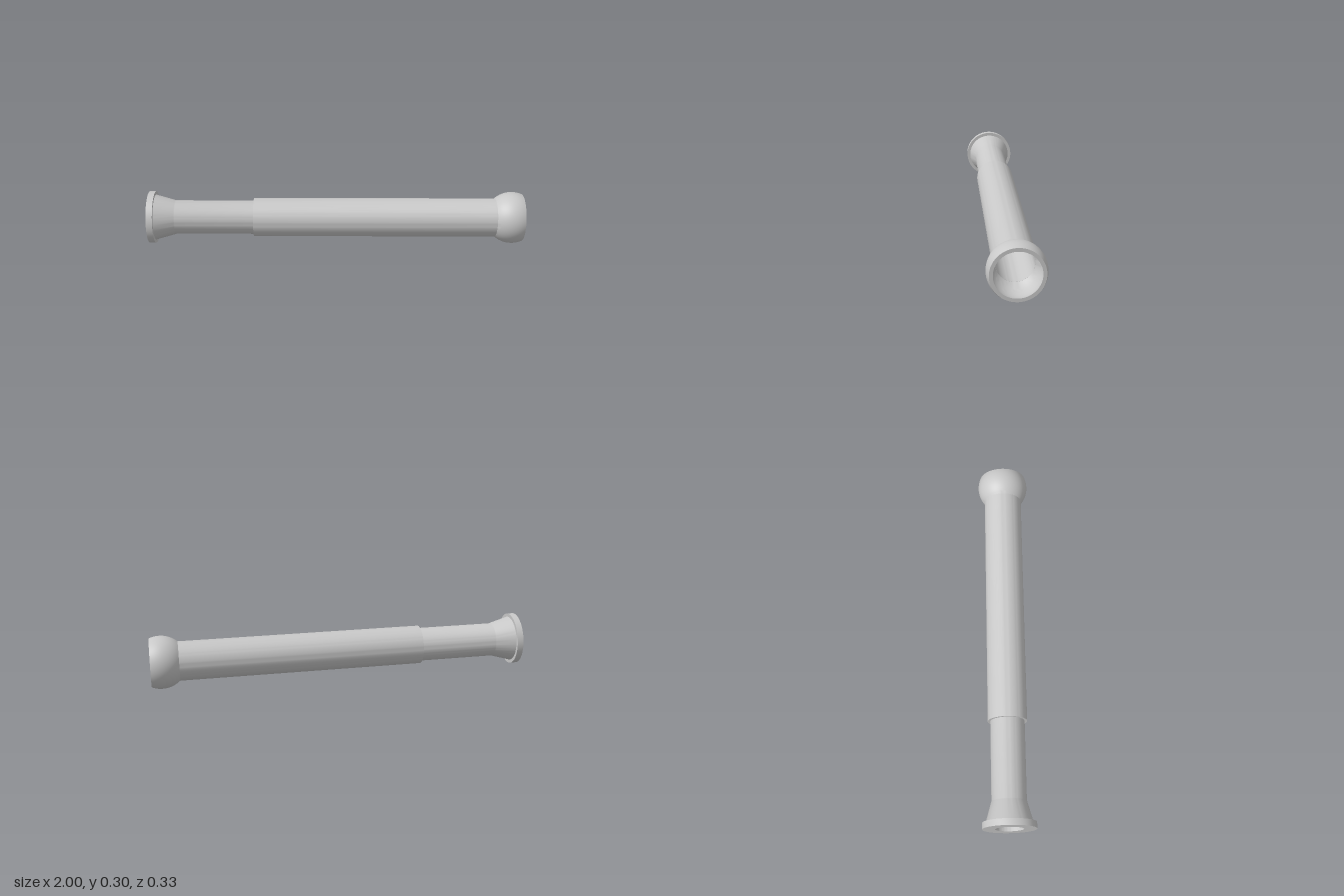
import * as THREE from 'three';
import { toCreasedNormals } from 'three/addons/utils/BufferGeometryUtils.js';

const SEGMENTS = 72;

// Turn a closed profile of [radius, position along the tube] pairs;
// the outside runs towards the ball end, the inside runs back
function turned(name, profile, material) {
  const points = [...profile, profile[0]].map(([r, a]) => new THREE.Vector2(r, a));
  const geometry = toCreasedNormals(new THREE.LatheGeometry(points, SEGMENTS), 0.4);
  const mesh = new THREE.Mesh(geometry, material);
  mesh.name = name;
  return mesh;
}

// Points on a sphere around the axis, between two positions along it
function sphereArc(radius, centre, from, to, steps) {
  const a0 = Math.acos((from - centre) / radius);
  const a1 = Math.acos((to - centre) / radius);
  return Array.from({ length: steps + 1 }, (_, i) => {
    const a = a0 + (a1 - a0) * i / steps;
    return [radius * Math.sin(a), centre + radius * Math.cos(a)];
  });
}

export function createModel() {
  const grey = new THREE.MeshStandardMaterial({ color: 0xc8c8c8 });
  grey.name = 'light grey';

  const model = new THREE.Group();
  model.name = 'telescopicTube';
  const bore = 0.0725, sleeveBore = 0.09, end = 0.996, ball = 0.942;

  // Narrow sliding tube with its flared neck and end flange
  model.add(turned('innerTubeWithFlange', [
    [bore, -end],
    [0.1375, -end],
    [0.1375, -0.963],
    [0.12, -0.963],
    [0.091, -0.86],
    [0.0895, -0.855],
    [0.0895, 0.08],
    [bore, 0.08],
  ], grey));

  // Wide sleeve ending in a hollow ball socket
  model.add(turned('outerTubeWithBallSocket', [
    [sleeveBore, -0.442],
    [0.1025, -0.442],
    [0.1025, 0.845],
    ...sphereArc(0.1375, ball, 0.851, end, 14),
    ...sphereArc(0.122, ball, end, 0.86, 12),
    [sleeveBore, 0.86],
  ], grey));

  // Lay the tube along x, sloping slightly down and forward to the ball end
  const direction = new THREE.Vector3(1, -0.0125, 0.0285).normalize();
  model.children.forEach((part) => {
    part.quaternion.setFromUnitVectors(new THREE.Vector3(0, 1, 0), direction);
    part.position.y = 0.151;
  });
  return model;
}
